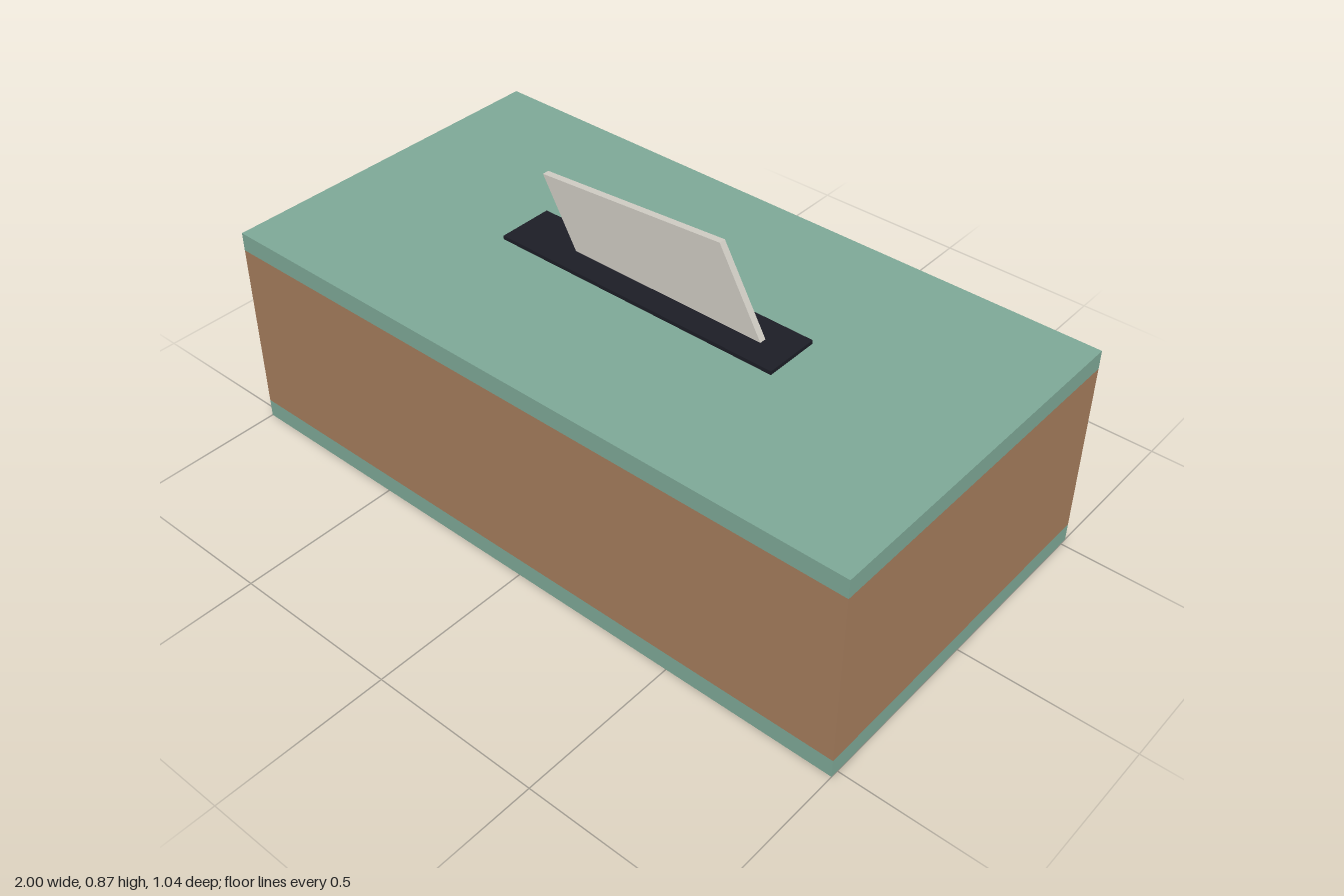
import * as THREE from 'three';

const WIDTH = 2, DEPTH = 1.045, BAND = 0.055, HEIGHT = 0.627;

export function createModel() {
  const group = new THREE.Group();
  group.name = 'tissueBox';

  const add = (name, geometry, color, y = 0) => {
    const mesh = new THREE.Mesh(geometry, new THREE.MeshStandardMaterial({ color }));
    mesh.name = name;
    mesh.position.y = y;
    group.add(mesh);
    return mesh;
  };
  // Box standing between two heights
  const slab = (name, w, d, y0, y1, color) =>
    add(name, new THREE.BoxGeometry(w, y1 - y0, d), color, (y0 + y1) / 2);

  // Carton: brown body between two green bands
  slab('bottomBand', WIDTH, DEPTH, 0, BAND, 0x7da796);
  slab('body', WIDTH, DEPTH, BAND, HEIGHT - BAND, 0xa47c5c);
  slab('topBand', WIDTH, DEPTH, HEIGHT - BAND, HEIGHT, 0x7da796);

  // Dark opening on the lid
  slab('slot', 0.9, 0.166, HEIGHT, 0.638, 0x1c1d26);

  // Leaning tissue sheet rising from the slot
  const outline = [[-0.25, 0.63], [0.365, 0.63], [0.225, 0.872], [-0.365, 0.83]];
  const shape = new THREE.Shape(outline.map(([x, y]) => new THREE.Vector2(x, y)));
  const thickness = 0.02;
  const sheet = new THREE.ExtrudeGeometry(shape, { depth: thickness, bevelEnabled: false });
  sheet.translate(0, 0, -thickness / 2);
  add('tissue', sheet, 0xcfcbc3);

  return group;
}
